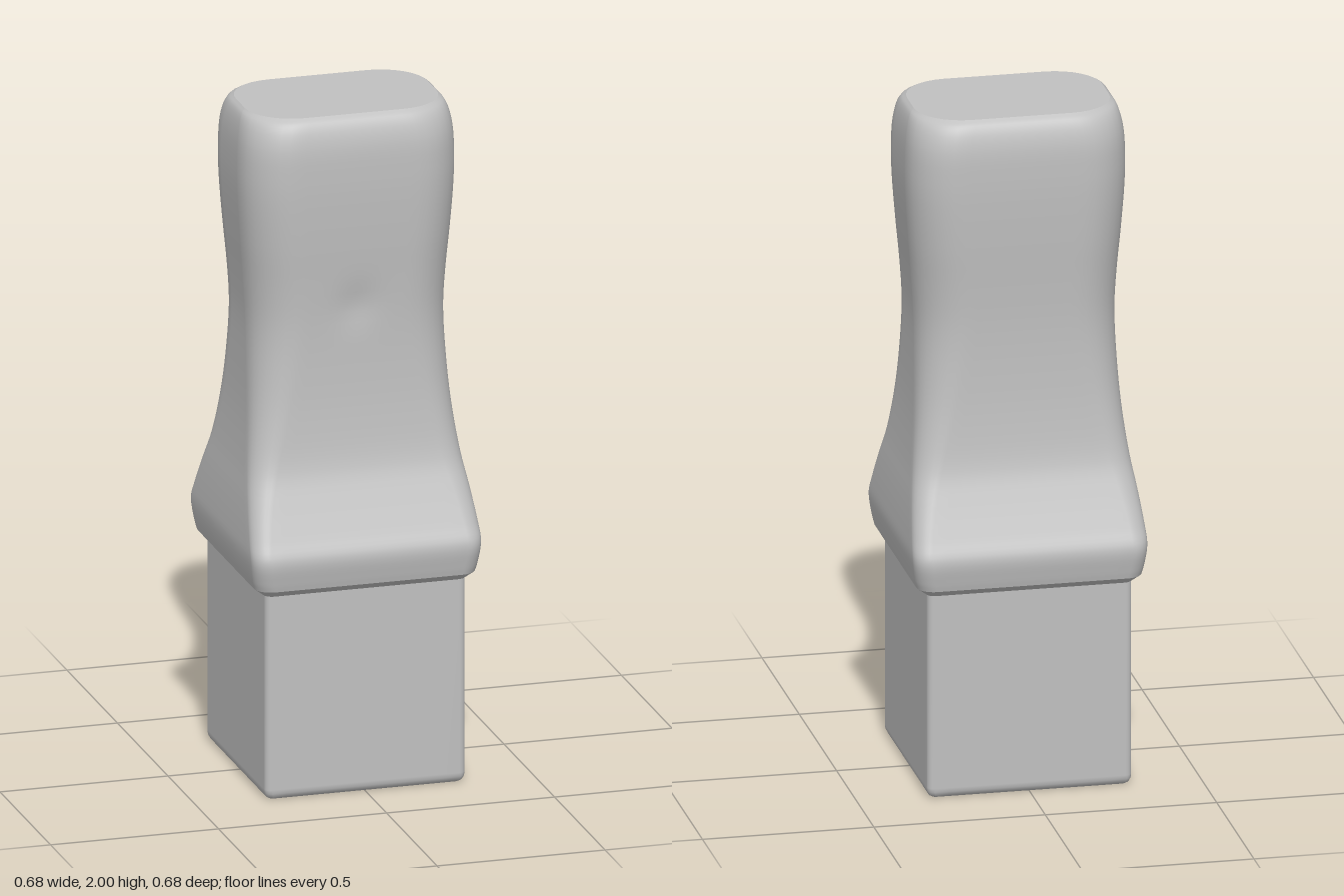
import * as THREE from 'three';

const grey = new THREE.MeshStandardMaterial({ color: 0xc0c0c0 });
grey.name = 'grey';

// Rounded rectangle outline, running anticlockwise in x and -z (seen from above)
function outline(hx, hz, r, arc = 8, straight = 14) {
  const pts = [];
  const corners = [[1, 1], [-1, 1], [-1, -1], [1, -1]];
  corners.forEach(([sx, sz], k) => {
    const cx = sx * (hx - r), cz = sz * (hz - r);
    for (let i = 0; i <= arc; i++) {
      const a = (k + i / arc) * Math.PI / 2;
      pts.push([cx + r * Math.cos(a), cz + r * Math.sin(a)]);
    }
    // points along the flat side towards the next corner
    const [nx, nz] = corners[(k + 1) % 4];
    const [px, pz] = pts[pts.length - 1];
    const horizontal = sz === nz;
    const ex = horizontal ? nx * (hx - r) : px;
    const ez = horizontal ? pz : nz * (hz - r);
    for (let i = 1; i < straight; i++) {
      const t = i / straight;
      pts.push([px + (ex - px) * t, pz + (ez - pz) * t]);
    }
  });
  return pts;
}

// Smooth skin through rounded rectangles [y, hx, hz, r]; bend may shift each point
function loft(sections, bend = (x, y, z) => z) {
  const pos = [], index = [];
  let n = 0;
  sections.forEach(([y, hx, hz, r]) => {
    const ring = outline(hx, hz, r);
    n = ring.length;
    ring.forEach(([x, z]) => pos.push(x, y, bend(x, y, z)));
  });
  for (let j = 0; j < sections.length - 1; j++) {
    for (let i = 0; i < n; i++) {
      const a = j * n + i, b = j * n + (i + 1) % n;
      index.push(a, a + n, b, b, a + n, b + n);
    }
  }
  const g = new THREE.BufferGeometry();
  g.setAttribute('position', new THREE.Float32BufferAttribute(pos, 3));
  g.setIndex(index);
  g.computeVertexNormals();
  return g;
}

// Flat end face, facing up or down
function cap([y, hx, hz, r], up) {
  const shape = new THREE.Shape(outline(hx, hz, r).map(([x, z]) => new THREE.Vector2(x, z)));
  const g = new THREE.ShapeGeometry(shape);
  g.rotateX(up ? -Math.PI / 2 : Math.PI / 2);
  g.translate(0, y, 0);
  return g;
}

export function createModel() {
  const model = new THREE.Group();
  const add = (name, geometry) => {
    const mesh = new THREE.Mesh(geometry, grey);
    mesh.name = name;
    model.add(mesh);
  };

  // Square block with a softly rounded lower edge
  const block = [
    [0, 0.282, 0.282, 0.012],
    [0.006, 0.291, 0.291, 0.016],
    [0.018, 0.297, 0.297, 0.019],
    [0.03, 0.298, 0.298, 0.02],
    [0.6, 0.298, 0.298, 0.02],
    [0.63, 0.298, 0.298, 0.02],
  ];
  add('block', loft(block));
  add('blockBottom', cap(block[0], false));

  // Handle profile: half width, height, half depth
  const profile = [
    [0.328, 0.634, 0.328], [0.334, 0.66, 0.334], [0.342, 0.725, 0.342],
    [0.339, 0.78, 0.317], [0.329, 0.87, 0.275], [0.316, 0.96, 0.239],
    [0.301, 1.1, 0.218], [0.293, 1.25, 0.209], [0.291, 1.38, 0.208],
    [0.298, 1.5, 0.213], [0.308, 1.62, 0.221], [0.317, 1.75, 0.227],
    [0.319, 1.83, 0.228], [0.316, 1.91, 0.225], [0.308, 1.96, 0.214],
    [0.298, 1.987, 0.2], [0.285, 2, 0.183],
  ].map((p) => new THREE.Vector3(...p));
  const curve = new THREE.CatmullRomCurve3(profile);
  const radius = (y) => 0.05 + 0.088 * THREE.MathUtils.smoothstep(y, 0.7, 1.5);
  const handle = curve.getPoints((profile.length - 1) * 4)
    .map((p) => [p.y, p.x, p.z, radius(p.y)]);

  // Shallow dimple on the front of the handle
  const dimple = (x, y, z) => {
    const d2 = (x * x + (y - 1.43) ** 2) / 0.0036;
    return z > 0.15 ? z - 0.009 * Math.exp(-d2) : z;
  };
  add('handle', loft(handle, dimple));
  add('handleTop', cap(handle[handle.length - 1], true));

  // Sloping lip under the handle where it meets the block
  add('handleLip', loft([
    [0.61, 0.296, 0.296, 0.02],
    [0.622, 0.312, 0.312, 0.035],
    handle[0],
  ]));
  return model;
}
